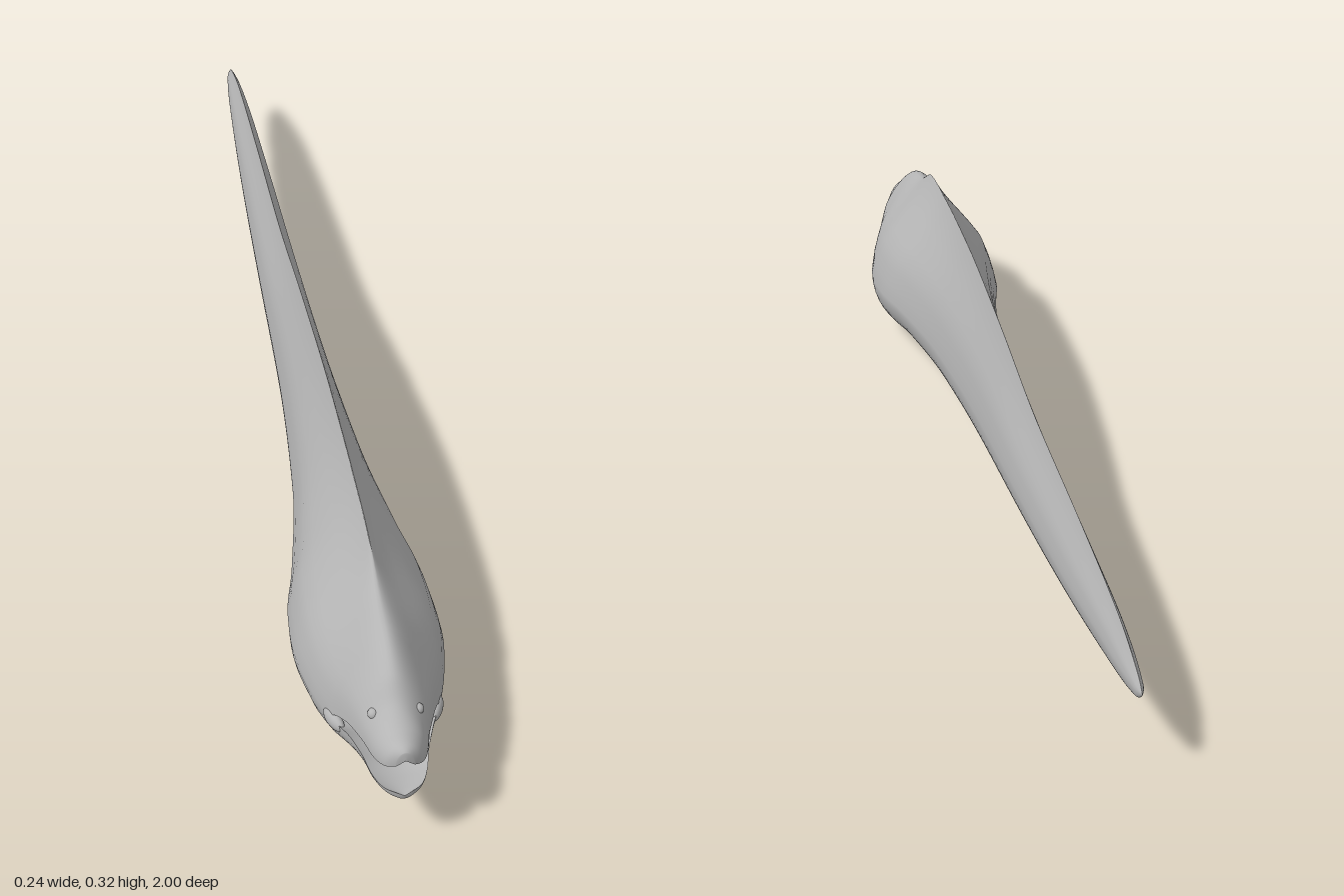
import * as THREE from 'three';
import { mergeVertices } from 'three/addons/utils/BufferGeometryUtils.js';

// Body stations: z, half width, belly y, lower lip y, upper lip y, back y, roundness of the back
// (behind the mouth both lips share one height, so the skin is closed)
const STATIONS = [
  [-1, 0, 0.13, 0.13, 0.13, 0.13, 0.5],
  [-0.975, 0.008, 0.113, 0.13, 0.13, 0.147, 0.3],
  [-0.85, 0.018, 0.094, 0.13, 0.13, 0.182, 0],
  [-0.6, 0.028, 0.07, 0.12, 0.12, 0.21, 0],
  [-0.29, 0.036, 0.05, 0.115, 0.115, 0.236, 0],
  [0, 0.043, 0.04, 0.115, 0.115, 0.283, 0],
  [0.3, 0.062, 0.034, 0.115, 0.115, 0.319, 0],
  [0.5, 0.093, 0.03, 0.115, 0.115, 0.327, 0],
  [0.6, 0.114, 0.018, 0.115, 0.115, 0.327, 0],
  [0.67, 0.118, 0.002, 0.115, 0.115, 0.322, 0],
  [0.76, 0.105, 0.01, 0.115, 0.115, 0.287, 0.3],
  [0.82, 0.088, 0.035, 0.115, 0.115, 0.277, 0.5],
  [0.85, 0.076, 0.052, 0.118, 0.135, 0.269, 0.55],
  [0.89, 0.062, 0.07, 0.128, 0.152, 0.25, 0.65],
  [0.925, 0.05, 0.085, 0.124, 0.155, 0.221, 0.8],
  [0.96, 0.041, 0.094, 0.118, 0.157, 0.206, 1],
  [0.985, 0.03, 0.098, 0.118, 0.163, 0.202, 1],
  [0.997, 0.015, 0.101, 0.117, 0.17, 0.196, 1],
  [1, 0, 0.11, 0.11, 0.182, 0.182, 1],
];
// Half width of the pinched back against height
const RIDGE_T = [0, 0.2, 0.4, 0.6, 0.76, 0.9, 1];
const RIDGE_X = [1, 0.92, 0.78, 0.5, 0.27, 0.1, 0];
const SIDE = 12; // points from lip to midline

// Overshoot-free cubic through the stations
function slope(i, c) {
  if (i === 0 || i === STATIONS.length - 1) return null;
  const d = (k) => (STATIONS[k + 1][c] - STATIONS[k][c]) / (STATIONS[k + 1][0] - STATIONS[k][0]);
  const a = d(i - 1), b = d(i);
  return a * b <= 0 ? 0 : (2 * a * b) / (a + b);
}
function sample(i, t) {
  const p = STATIONS[i], q = STATIONS[i + 1], h = q[0] - p[0];
  return p.map((v, c) => {
    if (c === 0) return v + h * t;
    const secant = (q[c] - v) / h;
    const m0 = slope(i, c) ?? secant * 1.5, m1 = slope(i + 1, c) ?? secant * 1.5;
    const t2 = t * t, t3 = t2 * t;
    return v * (2 * t3 - 3 * t2 + 1) + q[c] * (3 * t2 - 2 * t3)
      + h * (m0 * (t3 - 2 * t2 + t) + m1 * (t3 - t2));
  });
}
function makeSlices(from) {
  const slices = [];
  const steps = 6;
  for (let i = from; i < STATIONS.length - 1; i++) {
    for (let k = 0; k < steps; k++) slices.push(sample(i, k / steps));
  }
  slices.push(STATIONS[STATIONS.length - 1]);
  return slices;
}

function ridge(t) {
  let k = 0;
  while (k < RIDGE_T.length - 2 && t > RIDGE_T[k + 1]) k++;
  return THREE.MathUtils.mapLinear(t, RIDGE_T[k], RIDGE_T[k + 1], RIDGE_X[k], RIDGE_X[k + 1]);
}

// Cross-section strips; u runs from -1 to 1 along the strip
function backPoint([, w, , , up, top, round], u) {
  const a = (1 - Math.abs(u)) * Math.PI / 2;
  const t = Math.sin(a);
  const x = THREE.MathUtils.lerp(ridge(t), Math.cos(a), round);
  return [-Math.sign(u) * w * x, up + (top - up) * t];
}
function bellyPoint([, w, bottom, low], u) {
  const a = (1 - Math.abs(u)) * Math.PI / 2;
  return [Math.sign(u) * w * Math.cos(a), low - (low - bottom) * Math.sin(a)];
}
const gape = (s) => Math.min(1, Math.max(0, (s[4] - s[3]) / 0.03));
function palatePoint(s, u) {
  return [u * s[1], s[4] + 0.35 * (s[5] - s[4]) * (1 - u * u) * gape(s)];
}
function floorPoint(s, u) {
  return [-u * s[1], s[3] - 0.35 * (s[3] - s[2]) * (1 - u * u) * gape(s)];
}

// Loft strips over the slices and weld their shared edges
function loft(slices, strips) {
  const positions = [], index = [];
  const n = SIDE * 2 + 1;
  for (const strip of strips) {
    const base = positions.length / 3;
    for (const s of slices) {
      for (let j = 0; j < n; j++) positions.push(...strip(s, j / SIDE - 1), s[0]);
    }
    for (let i = 0; i < slices.length - 1; i++) {
      for (let j = 0; j < n - 1; j++) {
        const a = base + i * n + j, b = a + 1, c = a + n, d = c + 1;
        index.push(a, b, c, b, d, c);
      }
    }
  }
  let geometry = new THREE.BufferGeometry();
  geometry.setAttribute('position', new THREE.Float32BufferAttribute(positions, 3));
  geometry.setIndex(index);
  geometry = mergeVertices(geometry, 1e-5);
  geometry.computeVertexNormals();
  return geometry;
}

export function createModel() {
  const group = new THREE.Group();
  group.name = 'eel';
  const skin = new THREE.MeshStandardMaterial({ color: 0xb4b4b4 });
  skin.name = 'grey skin';

  function add(name, geometry) {
    const mesh = new THREE.Mesh(geometry, skin);
    mesh.name = name;
    group.add(mesh);
    return mesh;
  }

  // Skin of the body, head and jaws
  add('body', loft(makeSlices(0), [backPoint, bellyPoint]));
  // Roof and floor of the mouth
  add('mouthLining', loft(makeSlices(11), [palatePoint, floorPoint]));

  // Eyes and the folds at the corners of the mouth
  for (const side of [-1, 1]) {
    const name = side > 0 ? 'left' : 'right';
    const eye = add(name + 'Eye', new THREE.SphereGeometry(0.009, 16, 12));
    eye.position.set(side * 0.033, 0.199, 0.915);
    const fold = add(name + 'MouthFold', new THREE.SphereGeometry(1, 20, 14));
    fold.scale.set(0.01, 0.014, 0.026);
    fold.position.set(side * 0.078, 0.113, 0.835);
    fold.rotation.y = -side * 0.4;
  }
  return group;
}
